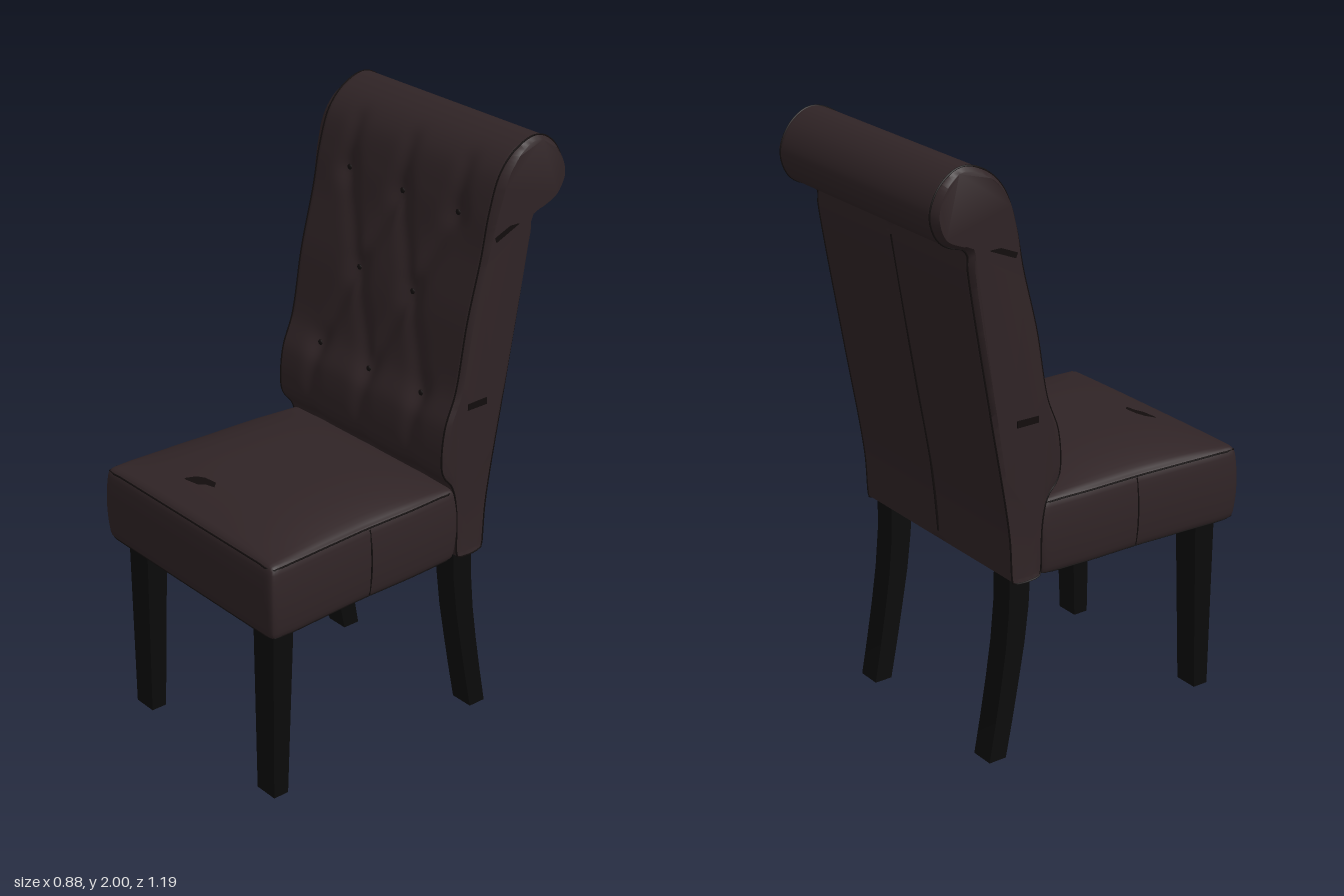
import * as THREE from 'three';
import { mergeVertices, toCreasedNormals } from 'three/addons/utils/BufferGeometryUtils.js';

const V2 = (x, y) => new THREE.Vector2(x, y);
const V3 = (x, y, z) => new THREE.Vector3(x, y, z);
const gauss = (d, w) => Math.exp(-(d * d) / (w * w));

// Linear interpolation through [key, value] pairs
function lerpTable(table, k) {
  if (k <= table[0][0]) return table[0][1];
  for (let i = 1; i < table.length; i++) {
    const [k0, v0] = table[i - 1], [k1, v1] = table[i];
    if (k <= k1) return v0 + (v1 - v0) * (k - k0) / (k1 - k0);
  }
  return table[table.length - 1][1];
}

// ---- Seat: maps cube coordinates (-1..1) to the cushion surface ----
const seatWidth = [[-0.19, 0.4], [0, 0.41], [0.2, 0.412], [0.38, 0.422], [0.5, 0.43], [0.59, 0.43]];
function seatPoint(u, v, w) {
  const core = V3(u, v, w).multiply(V3(0.42, 0.13, 0.385));
  const r = 0.022;
  const inner = V3(0.42 - r, 0.13 - r, 0.385 - r);
  const c = core.clone().clamp(inner.clone().negate(), inner);
  const p = core.sub(c);
  if (p.length() > r) p.setLength(r);
  p.add(c);
  const z = p.z + 0.2;
  const puff = 0.012 * (1 - v * v);
  const x = p.x * (lerpTable(seatWidth, z) + puff) / 0.42;
  const crown = v > 0 ? 0.055 * (1 - u ** 4) * (1 - Math.abs(w) ** 2.5) * (p.y / 0.13) : 0;
  return V3(x, p.y + 0.75 + crown, z + 0.008 * w * (1 - v * v));
}

function seatGeometry() {
  let g = new THREE.BoxGeometry(2, 2, 2, 28, 14, 28);
  g.deleteAttribute('uv');
  g.deleteAttribute('normal');
  const p = g.attributes.position;
  const ease = t => Math.sin(t * Math.PI / 2);
  for (let i = 0; i < p.count; i++) {
    const q = seatPoint(ease(p.getX(i)), ease(p.getY(i)), ease(p.getZ(i)));
    p.setXYZ(i, q.x, q.y, q.z);
  }
  g = mergeVertices(g, 1e-5);
  g.computeVertexNormals();
  return g;
}

// ---- Backrest: scrolled side profile as (z, y) ----
const backProfile = new THREE.CatmullRomCurve3([
  [-0.195, 0.63], [-0.19, 0.65], [-0.185, 0.8], [-0.165, 0.89], [-0.122, 0.95], [-0.125, 1.1],
  [-0.168, 1.22], [-0.21, 1.45], [-0.26, 1.65], [-0.288, 1.79], [-0.33, 1.91], [-0.395, 1.975],
  [-0.48, 2], [-0.555, 1.955], [-0.59, 1.87], [-0.56, 1.79], [-0.5, 1.757], [-0.463, 1.745],
  [-0.46, 1.69], [-0.38, 1.21], [-0.325, 0.9], [-0.308, 0.78], [-0.3, 0.65], [-0.295, 0.63],
].map(([z, y]) => V3(0, y, z)), true, 'centripetal');
const sideWidth = [[0.63, 0.402], [0.9, 0.408], [1.2, 0.42], [1.65, 0.422], [1.85, 0.436], [1.95, 0.43], [2, 0.415]];
const EDGE = 0.405;

const buttons = [[-0.26, 1.75], [0, 1.745], [0.26, 1.75], [-0.13, 1.46], [0.13, 1.46],
  [-0.25, 1.17], [0, 1.165], [0.25, 1.17]];
// Fold lines between buttons, and running to the top and bottom
const folds = [[0, 3], [1, 3], [1, 4], [2, 4], [3, 5], [3, 6], [4, 6], [4, 7]]
  .map(([a, b]) => [...buttons[a], ...buttons[b]]);
for (const i of [0, 1, 2]) folds.push([...buttons[i], buttons[i][0], 1.9]);
for (const i of [5, 6, 7]) folds.push([...buttons[i], buttons[i][0], 0.9]);

function tuftDepth(x, y) {
  let dimple = 0, fold = 0;
  for (const [bx, by] of buttons) dimple = Math.max(dimple, gauss(Math.hypot(x - bx, y - by), 0.05));
  for (const [ax, ay, bx, by] of folds) {
    const dx = bx - ax, dy = by - ay;
    const t = THREE.MathUtils.clamp(((x - ax) * dx + (y - ay) * dy) / (dx * dx + dy * dy), 0, 1);
    fold = Math.max(fold, gauss(Math.hypot(x - ax - t * dx, y - ay - t * dy), 0.035));
  }
  return (0.014 * dimple + 0.009 * fold) * (1 - Math.abs(x / EDGE) ** 8);
}

function backGeometry() {
  const n = 200, cols = 64;
  const pts = backProfile.getSpacedPoints(n).slice(0, n);
  const normals = pts.map((p, i) => {
    const t = pts[(i + 1) % n].clone().sub(pts[(i + n - 1) % n]).normalize();
    return V2(t.y, -t.z); // outward (z, y)
  });
  const pos = [], index = [];
  const section = (x, inset, bulged) => pts.forEach((p, i) => {
    const m = normals[i];
    let d = inset;
    if (!bulged && m.x > 0.2) d += tuftDepth(x, p.y) * m.x;
    if (!bulged && m.x < -0.5 && p.y < 1.72) d += 0.006 * gauss(x, 0.02);
    pos.push(bulged ? Math.sign(x) * lerpTable(sideWidth, p.y) : x, p.y - m.y * d, p.z - m.x * d);
  });
  section(-1, 0.014, true);
  for (let j = 0; j <= cols; j++) section(-EDGE + 2 * EDGE * j / cols, 0, false);
  section(1, 0.014, true);
  const rows = cols + 3;
  for (let j = 0; j < rows - 1; j++) for (let i = 0; i < n; i++) {
    const a = j * n + i, b = j * n + (i + 1) % n;
    index.push(a, a + n, b + n, a, b + n, b);
  }
  // Side panels
  const ring = pts.map(p => V2(p.z, p.y));
  for (const [a, b, c] of THREE.ShapeUtils.triangulateShape(ring, [])) {
    const area = ring[b].clone().sub(ring[a]).cross(ring[c].clone().sub(ring[a]));
    const [p, q] = area < 0 ? [b, c] : [c, b];
    const o = (rows - 1) * n;
    index.push(a + o, p + o, q + o, a, q, p);
  }
  const g = new THREE.BufferGeometry();
  g.setAttribute('position', new THREE.Float32BufferAttribute(pos, 3));
  g.setIndex(index);
  return toCreasedNormals(g, 0.75);
}

// ---- Legs: square sections [y, x, z, half width, half depth] from bottom to top ----
function legGeometry(sections) {
  const g = new THREE.BoxGeometry(2, 1, 2, 1, sections.length - 1, 1);
  const p = g.attributes.position;
  for (let i = 0; i < p.count; i++) {
    const [y, x, z, hw, hd] = sections[Math.round((p.getY(i) + 0.5) * (sections.length - 1))];
    p.setXYZ(i, x + p.getX(i) * hw, y, z + p.getZ(i) * hd);
  }
  return toCreasedNormals(g, 0.6);
}

export function createModel() {
  const group = new THREE.Group();
  const mat = (name, color) => new THREE.MeshStandardMaterial({ name, color });
  const leather = mat('brown leather', 0x302426);
  const dark = mat('dark seam', 0x120d0d);
  const wood = mat('black wood', 0x0b0b0b);
  const lining = mat('olive lining', 0x342a1b);
  const add = (name, geometry, material) => {
    const m = new THREE.Mesh(geometry, material);
    m.name = name;
    group.add(m);
    return m;
  };
  const box = (name, size, at, material) => {
    const m = add(name, new THREE.BoxGeometry(...size), material);
    m.position.set(...at);
    return m;
  };
  const tube = (name, points, r, closed) => add(name, new THREE.TubeGeometry(
    new THREE.CatmullRomCurve3(points, closed), points.length * 2, r, 5, closed), dark);

  add('seat', seatGeometry(), leather);
  add('backrest', backGeometry(), leather);
  box('seatLining', [0.7, 0.008, 0.66], [0, 0.618, 0.18], lining);

  // Piping around the seat edges
  for (const v of [0.94, -0.96]) {
    const loop = [];
    for (let s = 0; s < 4; s++) for (let k = 0; k < 12; k++) {
      const t = -1 + k / 6;
      loop.push(seatPoint(...[[t, v, 1], [1, v, -t], [-t, v, -1], [-1, v, t]][s]));
    }
    tube('seatPiping', loop, 0.003, true);
  }

  // Worn mark on the seat top
  const mark = new THREE.Shape([[-0.155, -0.475], [-0.13, -0.445], [-0.1, -0.432], [-0.05, -0.428],
    [-0.034, -0.447], [-0.07, -0.455], [-0.09, -0.47], [-0.145, -0.478]].map(([x, y]) => V2(x, -y)));
  const markGeo = new THREE.ShapeGeometry(mark);
  const mp = markGeo.attributes.position;
  for (let i = 0; i < mp.count; i++) {
    const x = mp.getX(i), z = mp.getY(i);
    mp.setXYZ(i, x, seatPoint(x / 0.425, 1, (z - 0.2) / 0.385).y + 0.003, z);
  }
  markGeo.computeVertexNormals();
  const markMat = dark.clone();
  markMat.side = THREE.DoubleSide;
  add('seatMark', markGeo, markMat);

  // Buttons pressed into the tufting
  const front = backProfile.getSpacedPoints(400).filter(p => p.z > -0.34).sort((a, b) => a.y - b.y);
  for (const [x, y] of buttons) {
    const z = front.filter(p => Math.abs(p.y - y) < 0.02).reduce((m, p) => Math.max(m, p.z), -1);
    const b = add('button', new THREE.SphereGeometry(0.01, 10, 6), dark);
    b.scale.z = 0.5;
    b.position.set(x, y, z - 0.019);
  }

  // Seam down the middle of the back
  tube('backSeam', [[0.66, -0.296], [0.9, -0.32], [1.21, -0.375], [1.69, -0.455]]
    .map(([y, z]) => V3(0, y, z)), 0.004, false);

  for (const s of [1, -1]) {
    // Piping along the backrest edges
    tube('backPiping', backProfile.getSpacedPoints(90).slice(0, 90).map(p => V3(s * EDGE, p.y, p.z)), 0.003, true);
    // Side seams and folds
    tube('seatSideSeam', [-0.9, -0.4, 0, 0.4, 0.9].map(v => seatPoint(s, v, -0.04)), 0.003, false);
    box('sideFold', [0.008, 0.022, 0.08], [s * 0.416, 1.165, -0.25], dark);
    box('scrollFold', [0.008, 0.018, 0.1], [s * 0.424, 1.725, -0.345], dark).rotation.x = 0.4;
    // Legs
    add('frontLeg', legGeometry([[0, s * 0.33, 0.513, 0.043, 0.028], [0.64, s * 0.33, 0.502, 0.05, 0.04]]), wood);
    add('rearLeg', legGeometry([[0, -0.333, 0.032], [0.13, -0.308, 0.033], [0.26, -0.285, 0.034],
      [0.39, -0.264, 0.036], [0.52, -0.25, 0.038], [0.65, -0.245, 0.04]]
      .map(([y, z, d]) => [y, s * 0.33, z, 0.042, d])), wood);
  }
  return group;
}
